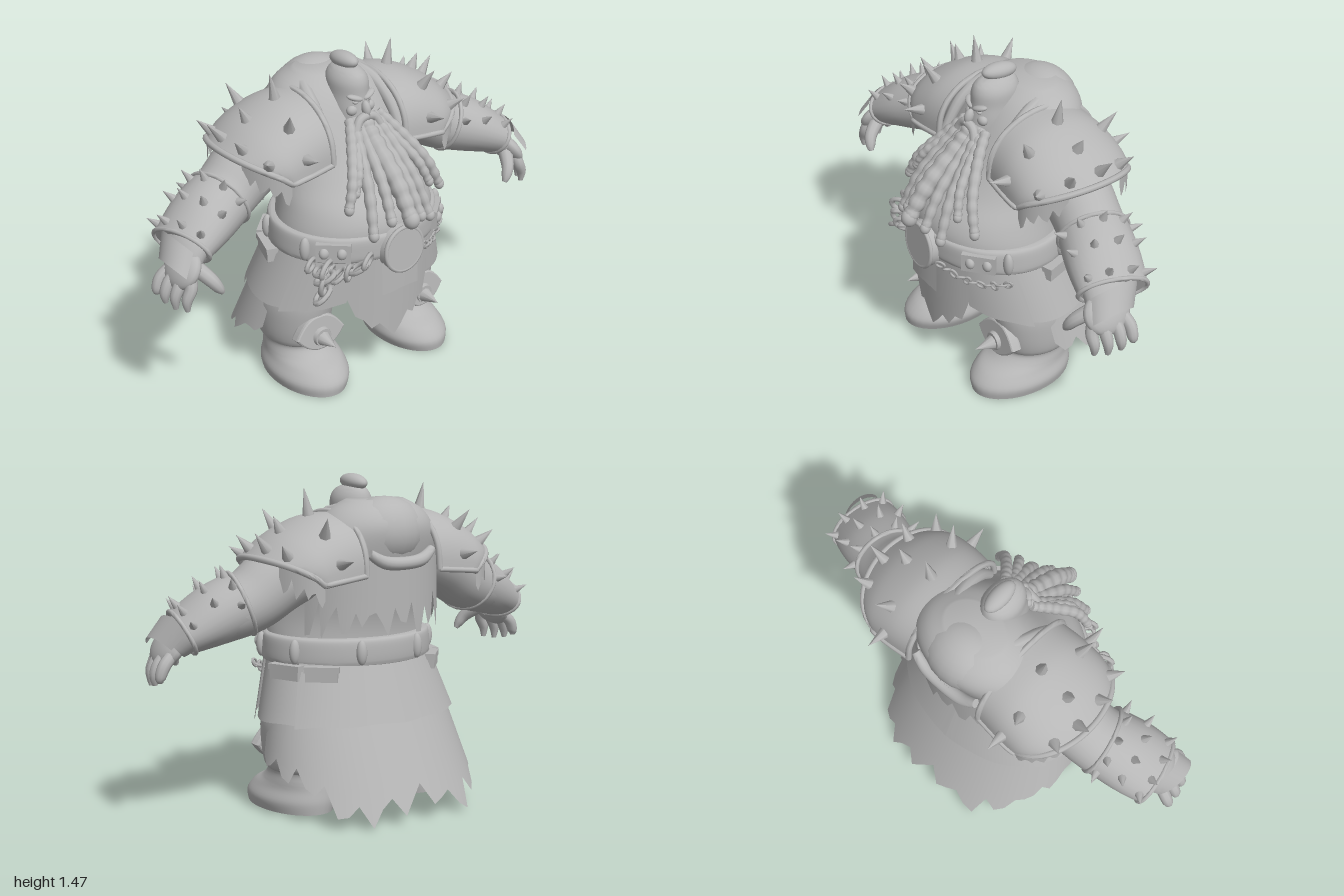
import * as THREE from 'three';
import { toCreasedNormals } from 'three/addons/utils/BufferGeometryUtils.js';

const V = (x, y, z) => new THREE.Vector3(x, y, z);
const { PI, sin, cos } = Math;

export function createModel() {
  const stone = new THREE.MeshStandardMaterial({ color: 0xb6b6b6, side: THREE.DoubleSide });
  stone.name = 'plain grey';
  const root = new THREE.Group();
  root.name = 'armouredBrute';
  const side = new THREE.Group(); // the model's left half, mirrored at the end
  side.name = 'leftSide';

  let seed = 77;
  const rnd = () => (seed = (seed * 16807) % 2147483647) / 2147483647;

  const add = (parent, name, geo, pos = [0, 0, 0], rot = [0, 0, 0], scale = [1, 1, 1]) => {
    const m = new THREE.Mesh(geo, stone);
    m.name = name;
    m.position.set(...pos);
    m.rotation.set(...rot);
    m.scale.set(...scale);
    parent.add(m);
    return m;
  };
  const ball = (parent, name, pos, scale, rot) =>
    add(parent, name, new THREE.SphereGeometry(1, 20, 14), pos, rot, scale);

  // Smooth interpolation through rows of numbers
  const spline = (rows, t) => {
    const s = t * (rows.length - 1), i = Math.min(Math.floor(s), rows.length - 2), f = s - i;
    const at = k => rows[Math.max(0, Math.min(rows.length - 1, k))];
    return rows[i].map((_, c) => {
      const [a, b, d, e] = [-1, 0, 1, 2].map(k => at(i + k)[c]);
      return b + 0.5 * f * (d - a + f * (2 * a - 5 * b + 4 * d - e + f * (3 * (b - d) + e - a)));
    });
  };

  // Surface from fn(u, v); capped closes both v ends
  const grid = (fn, nu, nv, capped = false) => {
    const pos = [], idx = [], e = capped ? 1 : 0;
    for (let j = -e; j <= nv + e; j++) {
      const v = Math.max(0, Math.min(nv, j)) / nv;
      const ring = Array.from({ length: nu + 1 }, (_, i) => fn(i / nu, v));
      const mid = ring.slice(1).reduce((s, p) => s.add(p), V(0, 0, 0)).divideScalar(nu);
      ring.forEach(p => pos.push(...(j < 0 || j > nv ? mid : p).toArray()));
    }
    const w = nu + 1;
    for (let j = 0; j < nv + 2 * e; j++) for (let i = 0; i < nu; i++) {
      const a = j * w + i;
      idx.push(a, a + 1, a + w, a + 1, a + w + 1, a + w);
    }
    const g = new THREE.BufferGeometry();
    g.setAttribute('position', new THREE.Float32BufferAttribute(pos, 3));
    g.setIndex(idx);
    return toCreasedNormals(g, 0.9);
  };

  // Oval ring [height, half width, front z, back z, centre x]; angle 0 is the front
  const ringPoint = ([y, w, zf, zb, x = 0], a) =>
    V(x + w * sin(a), y, (zf + zb) / 2 + (zf - zb) / 2 * cos(a));
  const loft = (rows, nu = 40, nv = rows.length * 4) =>
    grid((u, v) => ringPoint(spline(rows, v), u * 2 * PI), nu, nv, true);

  // Limb through [x, y, z, radius, widening towards ref] points
  const limbFn = (pts, bumps = 0, ref = V(0, 0, 1)) => (u, v) => {
    const [x, y, z, r, wide = 1] = spline(pts, v);
    const p = spline(pts, Math.max(0, v - 0.01)), q = spline(pts, Math.min(1, v + 0.01));
    const t = V(q[0] - p[0], q[1] - p[1], q[2] - p[2]).normalize();
    const s = t.clone().cross(ref).normalize(), n = s.clone().cross(t);
    const rr = r * (bumps ? 0.85 + 0.23 * Math.abs(sin(v * PI * bumps)) : 1);
    return V(x, y, z).addScaledVector(s, rr * cos(u * 2 * PI)).addScaledVector(n, rr * wide * sin(u * 2 * PI));
  };
  const limb = (parent, name, pts, nu = 14, nv = 20, bumps = 0, ref) =>
    add(parent, name, grid(limbFn(pts, bumps, ref), nu, nv, true));

  // Cloth hung between two rings, with a length for every column
  const drape = (parent, name, a0, a1, top, bottom, lengths) => {
    const n = lengths.length - 1;
    return add(parent, name, grid((u, v) => {
      const a = a0 + (a1 - a0) * u;
      return ringPoint(top, a).lerp(ringPoint(bottom, a), v * lengths[Math.round(u * n)]);
    }, n, 5));
  };
  // Ragged strips: a notch followed by two uneven tips
  const torn = (n, low, high) => Array.from({ length: n + 1 }, (_, i) =>
    i % 3 ? high - rnd() * (high - low) * 0.55 : low + rnd() * (high - low) * 0.4);

  // Spike standing on a surface, pointing away from centre
  const spike = (parent, fn, u, v, len, r, centre) => {
    const p = fn(u, v);
    const n = fn(u + 0.01, v).sub(p).cross(fn(u, v + 0.01).sub(p)).normalize();
    if (n.dot(p.clone().sub(centre)) < 0) n.negate();
    const m = add(parent, 'spike', new THREE.ConeGeometry(r, len, 7), p.addScaledVector(n, len * 0.42).toArray());
    m.quaternion.setFromUnitVectors(V(0, 1, 0), n);
  };

  // Torso and hump
  add(root, 'torso', loft([
    [0.42, 0.37, 0.27, -0.26], [0.62, 0.385, 0.36, -0.24], [0.75, 0.37, 0.40, -0.23], [0.85, 0.345, 0.375, -0.24],
    [0.95, 0.32, 0.29, -0.27], [1.05, 0.31, 0.22, -0.30], [1.15, 0.32, 0.16, -0.33], [1.25, 0.28, 0.10, -0.345],
    [1.32, 0.22, 0.04, -0.31], [1.365, 0.14, -0.03, -0.24]], 56));
  ball(root, 'hump', [0, 1.225, -0.2], [0.19, 0.155, 0.155]);
  limb(root, 'hoodFold', [[-0.17, 1.15, -0.32, 0.02], [-0.1, 1.11, -0.335, 0.028], [0, 1.1, -0.34, 0.028],
    [0.1, 1.11, -0.335, 0.028], [0.17, 1.15, -0.32, 0.02]]);
  drape(root, 'tornBackCloth', 1.75, 2 * PI - 1.75, [1.13, 0.34, 0.2, -0.34], [0.78, 0.37, 0.3, -0.34], torn(33, 0.45, 1));

  // Head
  add(root, 'head', loft([[1.1, 0.06, 0.15, -0.05], [1.18, 0.085, 0.165, -0.06], [1.24, 0.09, 0.16, -0.075],
    [1.3, 0.085, 0.15, -0.08], [1.36, 0.08, 0.145, -0.075], [1.4, 0.055, 0.12, -0.055], [1.42, 0.02, 0.06, -0.01]], 28));
  ball(root, 'topknotTie', [0, 1.408, 0.02], [0.035, 0.025, 0.07]);
  ball(root, 'topknot', [0, 1.43, 0.015], [0.042, 0.036, 0.085], [-0.08, 0, 0]);
  ball(root, 'nose', [0, 1.255, 0.168], [0.019, 0.034, 0.022], [-0.3, 0, 0]);
  for (const s of [-1, 1]) {
    ball(root, 'brow', [s * 0.037, 1.302, 0.138], [0.038, 0.013, 0.02], [0, s * 0.35, s * 0.3]);
    ball(root, 'eye', [s * 0.034, 1.282, 0.138], [0.014, 0.009, 0.012]);
    ball(root, 'cheek', [s * 0.045, 1.245, 0.13], [0.028, 0.024, 0.022]);
    ball(root, 'ear', [s * 0.09, 1.27, 0.03], [0.014, 0.035, 0.022]);
    limb(root, 'moustache', [[0, 1.225, 0.175, 0.02], [s * 0.045, 1.205, 0.175, 0.02], [s * 0.08, 1.13, 0.2, 0.018], [s * 0.1, 1.04, 0.25, 0.01]], 10);
  }

  // Beard braids: tip x, y, z and radius
  for (const [x, y, z, r] of [[0, 0.85, 0.48, 0.036], [-0.075, 0.85, 0.44, 0.023], [0.08, 0.83, 0.45, 0.023],
    [-0.155, 0.795, 0.42, 0.023], [0.155, 0.795, 0.42, 0.023], [-0.225, 0.91, 0.34, 0.022], [0.285, 0.87, 0.33, 0.022],
    [-0.18, 0.97, 0.33, 0.018], [0.2, 0.92, 0.36, 0.02]]) {
    limb(root, 'beardBraid', [[x * 0.3, 1.21, 0.14, r], [x * 0.5, 1.13, 0.215, r * 1.15],
      [x * 0.8, (y + 1.13) / 2, (z + 0.215) / 2 + 0.03, r * 1.1], [x, y, z, r * 0.9]], 10, 44, 9);
    ball(root, 'braidEnd', [x, y, z], [r, r * 1.15, r]);
  }

  // Belt, buckle and front cloth
  add(root, 'belt', loft([[0.65, 0.38, 0.38, -0.25], [0.66, 0.4, 0.41, -0.265], [0.71, 0.4, 0.415, -0.27],
    [0.765, 0.39, 0.41, -0.265], [0.775, 0.365, 0.38, -0.24]], 56));
  add(root, 'buckle', new THREE.CylinderGeometry(0.1, 0.108, 0.05, 32), [0, 0.69, 0.42], [PI / 2 - 0.08, 0, 0]);
  add(root, 'buckleRim', new THREE.TorusGeometry(0.1, 0.01, 8, 36), [0, 0.69, 0.437], [-0.08, 0, 0]);
  drape(root, 'frontFlap', -0.24, 0.24, [0.64, 0.42, 0.42, -0.27], [0.48, 0.42, 0.425, -0.27], [1, 0.98, 0.94, 0.95, 1]);
  drape(root, 'frontApron', -0.6, 0.6, [0.66, 0.4, 0.385, -0.25], [0.22, 0.4, 0.38, -0.25],
    [0.45, 0.66, 0.72, 0.84, 0.8, 0.9, 1, 0.9, 0.78, 0.84, 0.7, 0.7, 0.45]);
  drape(root, 'tornBackSkirt', 1.35, 2 * PI - 1.35, [0.5, 0.43, 0.3, -0.295], [0, 0.55, 0.33, -0.53],
    torn(36, 0.76, 1.02).map((l, i) => l * spline([[0.56], [0.68], [0.98], [0.86], [0.98], [0.68], [0.56]], i / 36)[0]));

  // Hanging chains
  const chain = (p, q, sag, n, r) => {
    for (let i = 0; i <= n; i++) {
      const t = i / n, c = V(...p).lerp(V(...q), t);
      c.y -= sag * 4 * t * (1 - t);
      add(root, 'chainLink', new THREE.TorusGeometry(r, r * 0.32, 6, 12), c.toArray(), [i % 2 ? 1.2 : 0.2, 0.5, i], [1.3, 0.9, 1]);
    }
  };
  chain([0.13, 0.65, 0.41], [0.39, 0.63, 0.23], 0.045, 10, 0.017);
  chain([-0.18, 0.68, 0.41], [-0.37, 0.66, 0.26], 0.06, 6, 0.033);
  chain([-0.34, 0.66, 0.33], [-0.36, 0.54, 0.33], 0, 3, 0.037);

  // Boots, legs and knee guards
  add(side, 'boot', loft([[0, 0.155, 0.345, -0.15, 0.295], [0.05, 0.17, 0.345, -0.155, 0.29], [0.1, 0.155, 0.3, -0.15, 0.285],
    [0.135, 0.145, 0.23, -0.145, 0.285], [0.175, 0.14, 0.19, -0.14, 0.285], [0.21, 0.15, 0.2, -0.155, 0.29]], 36));
  add(side, 'leg', loft([[0.17, 0.12, 0.17, -0.13, 0.285], [0.2, 0.152, 0.195, -0.155, 0.29], [0.3, 0.16, 0.215, -0.17, 0.295],
    [0.42, 0.17, 0.23, -0.19, 0.28], [0.55, 0.16, 0.22, -0.19, 0.24]], 32));
  const knee = new THREE.Shape();
  knee.moveTo(-0.115, 0);
  knee.quadraticCurveTo(-0.06, 0.09, 0, 0.08).quadraticCurveTo(0.06, 0.09, 0.115, 0);
  knee.quadraticCurveTo(0.06, -0.075, 0, -0.07).quadraticCurveTo(-0.06, -0.075, -0.115, 0);
  add(side, 'kneeGuard', new THREE.ExtrudeGeometry(knee, { depth: 0.03, bevelSize: 0.008, bevelThickness: 0.012, bevelSegments: 2 }),
    [0.295, 0.265, 0.195], [-0.12, 0.08, 0]);
  add(side, 'kneeBoss', new THREE.CylinderGeometry(0.042, 0.048, 0.02, 16), [0.295, 0.255, 0.24], [PI / 2, 0, 0]);
  add(side, 'kneeSpike', new THREE.ConeGeometry(0.037, 0.1, 10), [0.295, 0.25, 0.29], [PI / 2, 0, 0]);

  // Skirt plates, pouches and belt fittings
  for (const [a0, a1, o, hem] of [[0.5, 1.2, 0.012, [0.86, 0.95, 0.98, 1.05]], [1.15, 2.1, 0, [1, 1.02, 1, 0.98, 1]], [2.0, PI, 0.008, [1.03, 0.98, 1, 0.97, 1]]])
    drape(side, 'skirtPlate', a0, a1, [0.67, 0.39 + o, 0.37 + o, -0.25 - o], [0.41, 0.475 + o, 0.355 + o, -0.35 - o],
      Array.from({ length: 13 }, (_, i) => spline(hem.map(h => [h]), i / 12)[0]));
  const beltRing = [0.715, 0.4, 0.415, -0.27];
  const onBelt = (name, a, y, size) => {
    const p = ringPoint(beltRing, a);
    add(side, name, new THREE.BoxGeometry(...size), [p.x, y, p.z], [0, Math.atan2(sin(a) / 0.4, cos(a) / 0.343), 0]);
  };
  for (const [a, w] of [[1.85, 0.15], [2.3, 0.14]]) {
    onBelt('pouch', a, 0.625, [w, 0.06, 0.065]);
    onBelt('pouchLid', a, 0.648, [w + 0.012, 0.026, 0.075]);
  }
  onBelt('beltPlate', 0.8, 0.715, [0.15, 0.085, 0.03]);
  for (const a of [0.7, 0.9]) ball(side, 'beltStud', ringPoint([0.715, 0.412, 0.427, -0.282], a).toArray(), [0.025, 0.027, 0.02]);
  for (const a of [1.15, 1.95, 2.75]) ball(side, 'beltLoop', ringPoint(beltRing, a).toArray(), [0.025, 0.055, 0.022]);

  // Arm and hand
  limb(side, 'arm', [[0.26, 1.13, -0.07, 0.15, 1], [0.45, 1.05, -0.06, 0.15, 1], [0.58, 0.965, -0.045, 0.138, 1.05],
    [0.7, 0.91, -0.01, 0.12, 1.25], [0.82, 0.86, 0.04, 0.088, 1.5], [0.89, 0.79, 0.08, 0.062, 1.6]], 28, 28);
  ball(side, 'palm', [0.905, 0.775, 0.1], [0.044, 0.095, 0.11], [0, 0, 0.58]);
  for (const [z, x, y] of [[0.025, 1.0, 0.65], [0.08, 0.995, 0.632], [0.135, 0.98, 0.622], [0.185, 0.955, 0.625]])
    limb(side, 'finger', [[0.91, 0.76, z * 0.8 + 0.02, 0.026], [x - 0.035, 0.715, z, 0.027], [x - 0.012, 0.665, z, 0.023], [x - 0.012, y - 0.008, z, 0.011]], 10, 12);
  limb(side, 'thumb', [[0.87, 0.78, 0.14, 0.034], [0.835, 0.735, 0.2, 0.03], [0.81, 0.695, 0.22, 0.023], [0.795, 0.67, 0.225, 0.011]], 10, 12);

  // Spiked bracer, broad from front to back, with a flat guard over the hand
  const cuff = [[0.63, 0.948, -0.03, 0.138, 1.1], [0.74, 0.905, 0.005, 0.126, 1.28], [0.87, 0.84, 0.045, 0.092, 1.65]];
  const cuffFn = limbFn(cuff);
  limb(side, 'bracer', cuff, 28, 14);
  for (const v of [0, 1])
    limb(side, 'bracerRim', Array.from({ length: 17 }, (_, i) => [...cuffFn(i / 16, v).toArray(), 0.01]), 8, 40, 0, V(0.83, -0.45, 0.3));
  add(side, 'handGuard', grid((u, v) => {
    const a = (u - 0.5) * 2.4, r = 0.125 - 0.015 * v;
    return V(0.87 + 0.06 * v + r * 0.5 * cos(a), 0.84 - 0.085 * v + r * 0.6 * cos(a), 0.055 + 0.045 * v + r * sin(a));
  }, 16, 5));
  for (let i = 0; i < 13; i++) {
    const v = [0.15, 0.5, 0.85][i % 3], c = spline(cuff, v), axis = V(c[0], c[1], c[2]);
    const up = [0, 0.1, 0.2, 0.3, 0.4, 0.5].reduce((b, u) => cuffFn(u, v).y > cuffFn(b, v).y ? u : b, 0.75);
    spike(side, cuffFn, 1 + up + (Math.floor(i / 3) - 2) * 0.1 + (i % 3) * 0.03, v, 0.062, 0.02, axis);
  }

  // Spiked shoulder plate: rows of x, crest height, edge height, half depth; its outer edge is rounded
  const padRows = [[0.2, 1.315, 1.06, 0.27], [0.33, 1.3, 1.05, 0.28], [0.48, 1.23, 1.04, 0.28], [0.59, 1.14, 1.035, 0.268]];
  const padFn = (u, v) => {
    const [x, top, low, hz] = spline(padRows, Math.min(1, u)), a = v * PI;
    return V(x - 0.18 * u * u * (1 - sin(a)), low + (top - low) * Math.pow(Math.max(0, sin(a)), 0.8), -0.07 + hz * cos(a));
  };
  add(side, 'shoulderPlate', grid(padFn, 18, 30));
  for (const u of [0, 1])
    limb(side, 'shoulderPlateRim', Array.from({ length: 13 }, (_, i) => [...padFn(u, i / 12).toArray(), 0.014]), 8, 36, 0, V(1, 0, 0));
  for (const v of [0, 1])
    limb(side, 'shoulderPlateHem', [0, 0.33, 0.66, 1].map(u => [...padFn(u, v).toArray(), 0.012]), 8, 12, 0, V(0, 1, 0));
  for (const [v0, v1] of [[0, 0.35], [1, 0.68]]) {
    const len = torn(12, 0.03, 0.13);
    add(side, 'tornShoulderCloth', grid((u, t) =>
      padFn(0.97, v0 + (v1 - v0) * u).add(V(0, -t * len[Math.round(u * 12)], 0)), 12, 3));
  }
  const padCentre = V(0.3, 1.0, -0.07);
  for (const [u, v, l] of [[0.28, 0.5, 0.13], [0.42, 0.28, 0.11], [0.4, 0.08, 0.1], [0.42, 0.74, 0.11], [0.4, 0.93, 0.1],
    [0.6, 0.5, 0.08], [0.85, 0.55, 0.11], [0.85, 0.38, 0.09], [0.85, 0.7, 0.09], [0.85, 0.2, 0.08]])
    spike(side, padFn, u, v, l, 0.028, padCentre);
  limb(side, 'collarStrap', [[0.12, 1.335, -0.16, 0.03], [0.17, 1.3, -0.02, 0.03], [0.19, 1.22, 0.09, 0.028], [0.2, 1.08, 0.17, 0.02]], 10, 18, 0, V(1, 0, 0));

  const mirrored = side.clone();
  mirrored.name = 'rightSide';
  mirrored.scale.x = -1;
  root.add(side, mirrored);
  return root;
}
